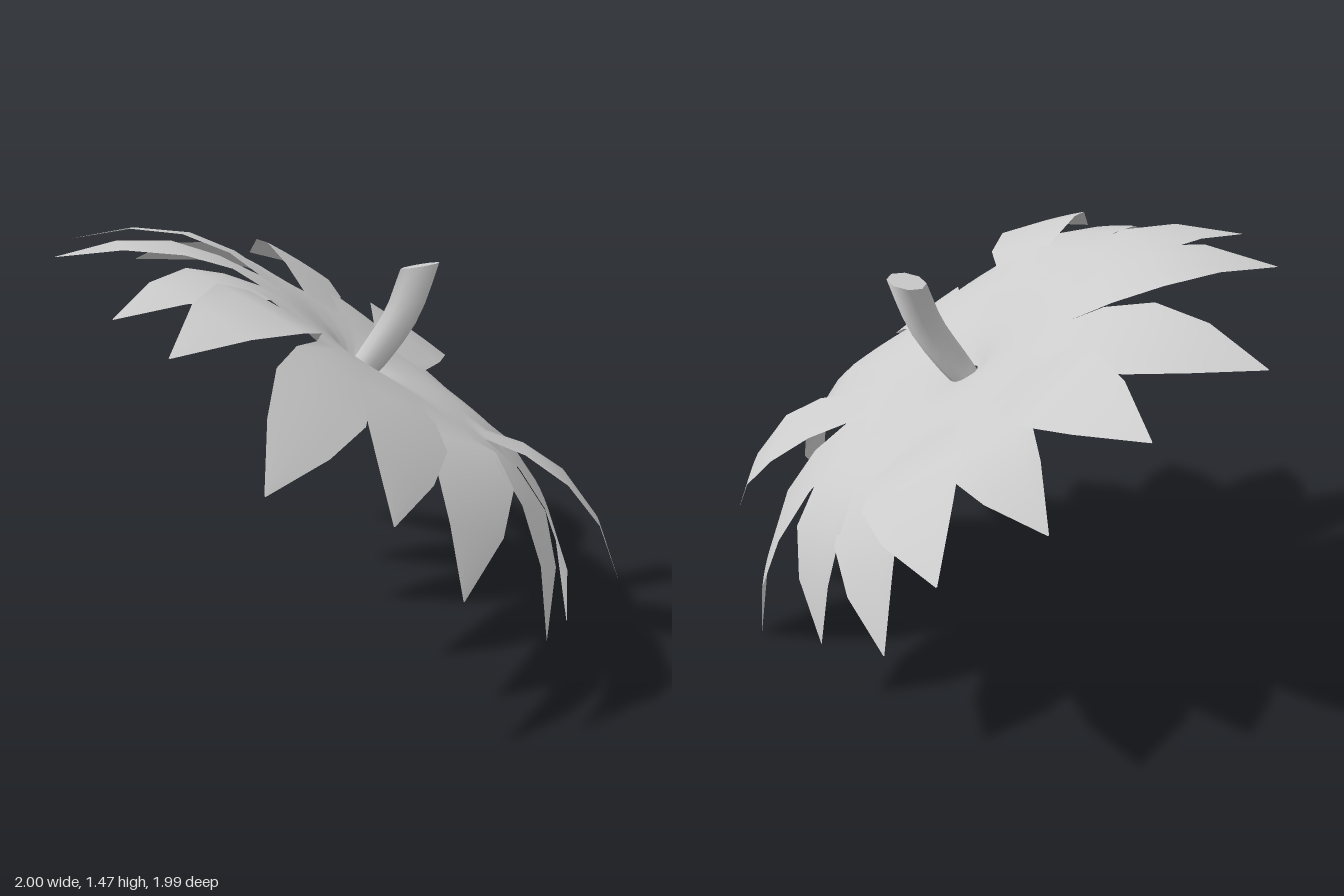
import * as THREE from 'three';

const V = (x, y, z) => new THREE.Vector3(x, y, z);
const up = V(0.43, 0.82, 0.37).normalize(); // facing of the tilted leaf crown
const hub = V(0.06, 1.07, 0.12);

// Notches between leaves (x, z), clockwise from the back; heights follow the tilted plane
const notches = [
  [0.04, -0.31], [0.23, -0.31], [0.36, -0.24], [0.44, -0.13], [0.51, 0.05], [0.5, 0.2],
  [0.45, 0.35], [0.27, 0.48], [0.1, 0.59], [-0.05, 0.64], [-0.2, 0.53], [-0.34, 0.42],
  [-0.42, 0.3], [-0.36, 0.1], [-0.27, -0.07], [-0.11, -0.22],
].map(([x, z]) => V(x, hub.y - 0.5 * (x - hub.x) - 0.46 * (z - hub.z), z));

// Leaves between notch i and notch i + 1: tip x, y, z, width factor, arch height
const leaves = [
  [0.02, 1.25, -1, 1.03, 0.075], [0.59, 1.2, -0.92, 1.05, 0.085],
  [0.71, 0.89, -0.67, 1, 0.1], [1, 0.8, -0.49, 1.2, 0.1],
  [0.89, 0.4, -0.19, 1, 0.08], [0.77, 0.24, 0.19, 1, 0.095],
  [0.57, 0, 0.69, 1.25, 0.105], [0.37, 0.34, 0.98, 1, 0.11],
  [-0.12, 0.31, 0.99, 1.05, 0.11], [-0.45, 0.54, 0.89, 1, 0.11],
  [-0.64, 0.81, 0.77, 1, 0.075], [-0.96, 0.95, 0.57, 1, 0.075],
  [-1, 1.29, 0.26, 1.08, 0.11], [-0.91, 1.33, -0.07, 0.9, 0.085],
  [-0.74, 1.43, -0.54, 0.95, 0.085], [-0.46, 1.42, -0.8, 1, 0.1],
];

// Crown: shallow dimpled disc that splits into drooping pointed leaves, one thin surface
function crownGeometry() {
  const pos = [], index = [];
  const add = (p) => pos.push(p.x, p.y, p.z) / 3 - 1;
  const cols = 4, n = notches.length, around = n * cols;
  const stitch = (a, b) => {
    for (let j = 0; j + 1 < a.length; j++) {
      index.push(a[j], a[j + 1], b[j + 1], a[j], b[j + 1], b[j]);
    }
  };

  // Disc rings: [fraction of rim radius, height along the crown's facing]
  const rings = [[0.05, -0.07], [0.14, -0.055], [0.25, -0.03], [0.4, -0.015], [0.6, -0.002], [0.8, 0.004], [1, 0]];
  let rim = null;
  for (const [f, h] of rings) {
    const row = [];
    for (let k = 0; k < around; k++) {
      const i = Math.floor(k / cols);
      const p = notches[i].clone().lerp(notches[(i + 1) % n], (k % cols) / cols);
      row.push(add(p.lerp(hub, 1 - f).addScaledVector(up, h)));
    }
    row.push(row[0]);
    if (rim) stitch(rim, row);
    rim = row;
  }

  // Leaf rows: [fraction of length, half width]
  const rows = [[0.2, 0.135], [0.45, 0.155], [0.72, 0.105], [1, 0.002]];
  leaves.forEach(([x, y, z, wide, arch], i) => {
    const tip = V(x, y, z);
    const L = notches[i], R = notches[(i + 1) % n];
    const base = L.clone().lerp(R, 0.5);
    const axis = tip.clone().sub(base).normalize();
    const side = R.clone().sub(L);
    side.addScaledVector(axis, -side.dot(axis)).normalize();
    const out = side.clone().cross(axis).normalize();
    if (out.dot(up) < 0) out.negate();
    const lift = up.clone().add(out).normalize();
    let prev = rim.slice(i * cols, i * cols + cols + 1);
    for (const [t, w] of rows) {
      const mid = base.clone().lerp(tip, t).addScaledVector(lift, arch * 4 * t * (1 - t));
      const row = [];
      for (let j = 0; j <= cols; j++) {
        const s = (j / cols) * 2 - 1;
        row.push(add(mid.clone().addScaledVector(side, s * w * wide).addScaledVector(out, -0.03 * w * s * s)));
      }
      stitch(prev, row);
      prev = row;
    }
  });

  const g = new THREE.BufferGeometry();
  g.setAttribute('position', new THREE.Float32BufferAttribute(pos, 3));
  g.setIndex(index);
  g.computeVertexNormals();
  return g;
}

// Stem: flared cylinder bent along a curve, its cut end leaning slightly back
function stemGeometry() {
  const curve = new THREE.CatmullRomCurve3([
    V(0.05, 0.99, 0.105), V(0.08, 1.05, 0.14), V(0.145, 1.19, 0.205), V(0.205, 1.355, 0.235),
  ]);
  const g = new THREE.CylinderGeometry(0.068, 0.048, 1, 8, 8);
  const p = g.attributes.position, nor = g.attributes.normal;
  const q = new THREE.Quaternion();
  const cut = new THREE.Quaternion().setFromUnitVectors(V(0, 1, 0), V(0, 1, -0.22).normalize());
  for (let i = 0; i < p.count; i++) {
    const t = THREE.MathUtils.clamp(p.getY(i) + 0.5, 0, 1);
    q.setFromUnitVectors(V(0, 1, 0), curve.getTangent(t)).slerp(cut, t * t);
    const v = V(p.getX(i), 0, p.getZ(i)).applyQuaternion(q).add(curve.getPoint(t));
    const m = V(nor.getX(i), nor.getY(i), nor.getZ(i)).applyQuaternion(q);
    p.setXYZ(i, v.x, v.y, v.z);
    nor.setXYZ(i, m.x, m.y, m.z);
  }
  return g;
}

export function createModel() {
  const group = new THREE.Group();
  const leafMat = new THREE.MeshStandardMaterial({ color: 0xcccccc, side: THREE.DoubleSide });
  const stemMat = new THREE.MeshStandardMaterial({ color: 0xcccccc });
  const crown = new THREE.Mesh(crownGeometry(), leafMat);
  crown.name = 'leafCrown';
  const stem = new THREE.Mesh(stemGeometry(), stemMat);
  stem.name = 'stem';
  group.add(crown, stem);
  return group;
}
